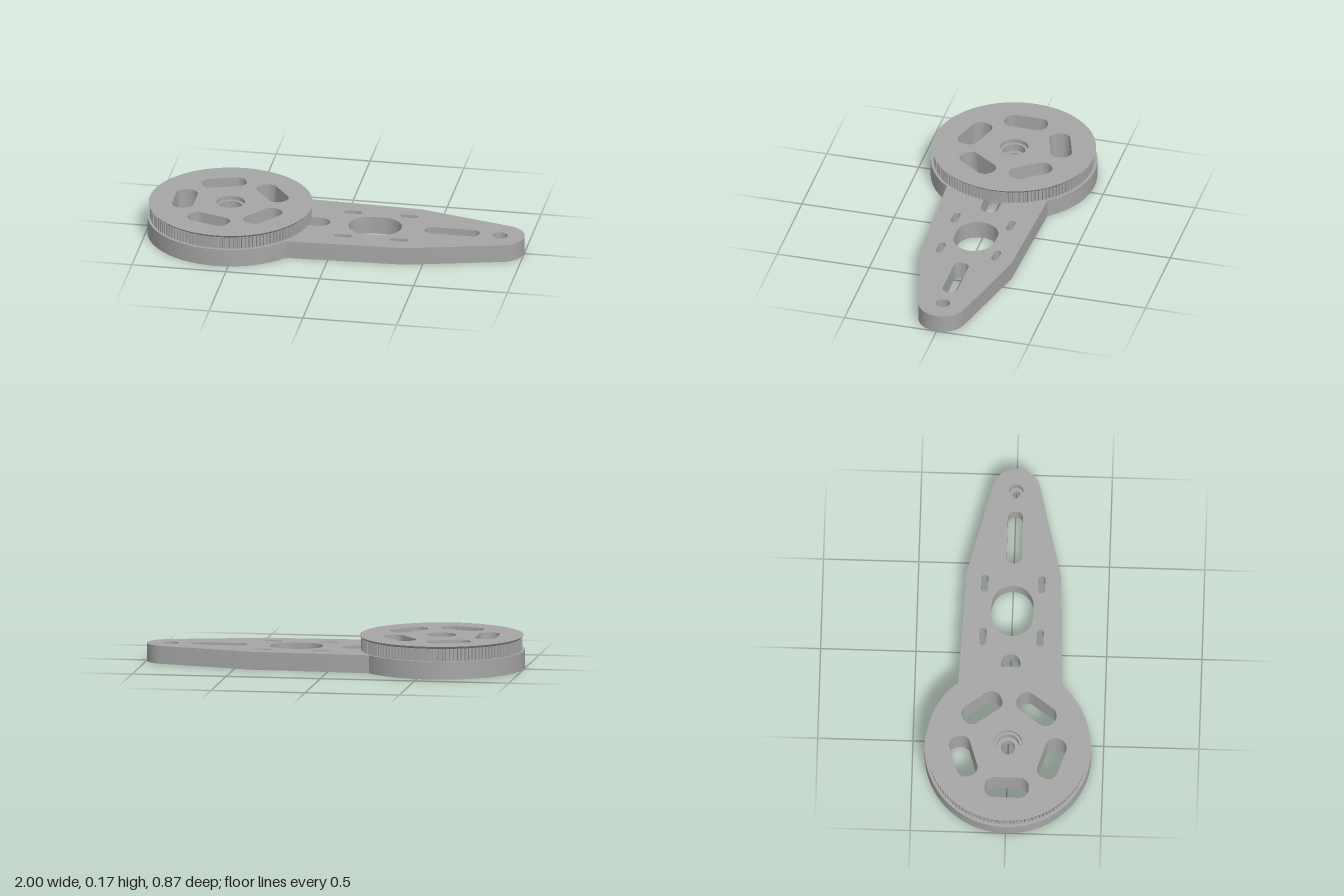
import * as THREE from 'three';
import { toCreasedNormals } from 'three/addons/utils/BufferGeometryUtils.js';

const HUB = -0.563;      // x of the pulley axis
const PLATE = 0.095;     // plate thickness
const RIM = 0.16;        // top of the teeth
const TOP = 0.172;       // top of the flange

// Rounded slot, centred on (x, y) and turned by angle
function slot(x, y, halfLength, halfWidth, angle = 0, r = halfWidth) {
  const path = new THREE.Path();
  const corners = [[1, 1], [-1, 1], [-1, -1], [1, -1]];
  corners.forEach(([sx, sy], i) => {
    const u = sx * (halfLength - r), v = sy * (halfWidth - r);
    const px = x + u * Math.cos(angle) - v * Math.sin(angle);
    const py = y + u * Math.sin(angle) + v * Math.cos(angle);
    const start = angle + i * Math.PI / 2;
    path.absarc(px, py, r, start, start + Math.PI / 2, false);
  });
  path.closePath();
  return path;
}

function circle(x, y, r) {
  return new THREE.Path().absarc(x, y, r, 0, Math.PI * 2, false);
}

// Five lightening slots and the hub bore, shared by plate and pulley
function hubHoles(x) {
  const holes = [circle(x, 0, 0.075)];
  for (let i = 0; i < 5; i++) {
    const a = Math.PI + i * Math.PI * 2 / 5;
    holes.push(slot(x + 0.244 * Math.cos(a), 0.244 * Math.sin(a), 0.116, 0.056, a + Math.PI / 2, 0.05));
  }
  return holes;
}

// Extrude upward from y0 to y1
function slab(shape, y0, y1, curveSegments) {
  const g = new THREE.ExtrudeGeometry(shape, { depth: y1 - y0, bevelEnabled: false, curveSegments });
  g.rotateX(-Math.PI / 2);
  g.translate(0, y0, 0);
  return g;
}

export function createModel() {
  const group = new THREE.Group();
  const metal = new THREE.MeshStandardMaterial({ color: 0xa5a5a5 });
  metal.name = 'grey metal';
  const add = (name, geometry, x = 0) => {
    const mesh = new THREE.Mesh(toCreasedNormals(geometry, 0.45), metal);
    mesh.name = name;
    mesh.position.x = x;
    group.add(mesh);
  };

  // Arm plate: round end, tapering sides, rounded tip
  const join = Math.atan2(0.273, 0.342);
  const plate = new THREE.Shape();
  plate.absarc(HUB, 0, 0.437, join, Math.PI * 2 - join, false);
  plate.lineTo(0.41, -0.248);
  plate.absarc(0.873, 0, 0.127, -1.325, 1.325, false);
  plate.lineTo(0.41, 0.248);
  plate.closePath();
  plate.holes.push(
    ...hubHoles(HUB),
    slot(-0.155, 0, 0.12, 0.05),
    slot(0.207, 0, 0.14, 0.11),
    slot(0.616, 0, 0.145, 0.04, 0, 0.035),
    circle(0.873, 0, 0.038)
  );
  for (const x of [0.06, 0.357]) {
    for (const y of [-0.15, 0.15]) plate.holes.push(slot(x, y, 0.048, 0.018));
  }
  add('armPlate', slab(plate, 0, PLATE, 48));

  // Toothed pulley
  const teeth = 130;
  const outline = [];
  for (let i = 0; i < teeth; i++) {
    for (const [f, r] of [[0, 0.423], [0.45, 0.423], [0.55, 0.412], [0.9, 0.412]]) {
      const a = (i + f) / teeth * Math.PI * 2;
      outline.push(new THREE.Vector2(r * Math.cos(a), r * Math.sin(a)));
    }
  }
  const gear = new THREE.Shape(outline);
  gear.holes.push(...hubHoles(0));
  add('toothedPulley', slab(gear, PLATE, RIM, 16), HUB);

  // Flange, flared toward its top
  const disc = new THREE.Shape();
  disc.absarc(0, 0, 0.42, 0, Math.PI * 2, false);
  disc.holes.push(...hubHoles(0));
  const flange = slab(disc, RIM, TOP, 48);
  const p = flange.attributes.position;
  for (let i = 0; i < p.count; i++) {
    const r = Math.hypot(p.getX(i), p.getZ(i));
    if (r > 0.4 && p.getY(i) > (RIM + TOP) / 2) {
      p.setX(i, p.getX(i) * 0.43 / r);
      p.setZ(i, p.getZ(i) * 0.43 / r);
    }
  }
  add('flange', flange, HUB);

  // Stepped inserts in the hub and the tip hole
  const lathe = (points) => new THREE.LatheGeometry(points.map(([r, y]) => new THREE.Vector2(r, y)), 48);
  add('hubBushing', lathe([
    [0.06, 0], [0.075, 0], [0.075, 0.15], [0.06, 0.15], [0.06, 0.11],
    [0.038, 0.11], [0.038, 0.06], [0.06, 0.06], [0.06, 0]
  ]), HUB);
  add('tipCounterbore', lathe([
    [0.02, 0], [0.038, 0], [0.038, 0.045], [0.02, 0.045], [0.02, 0]
  ]), 0.873);

  return group;
}
